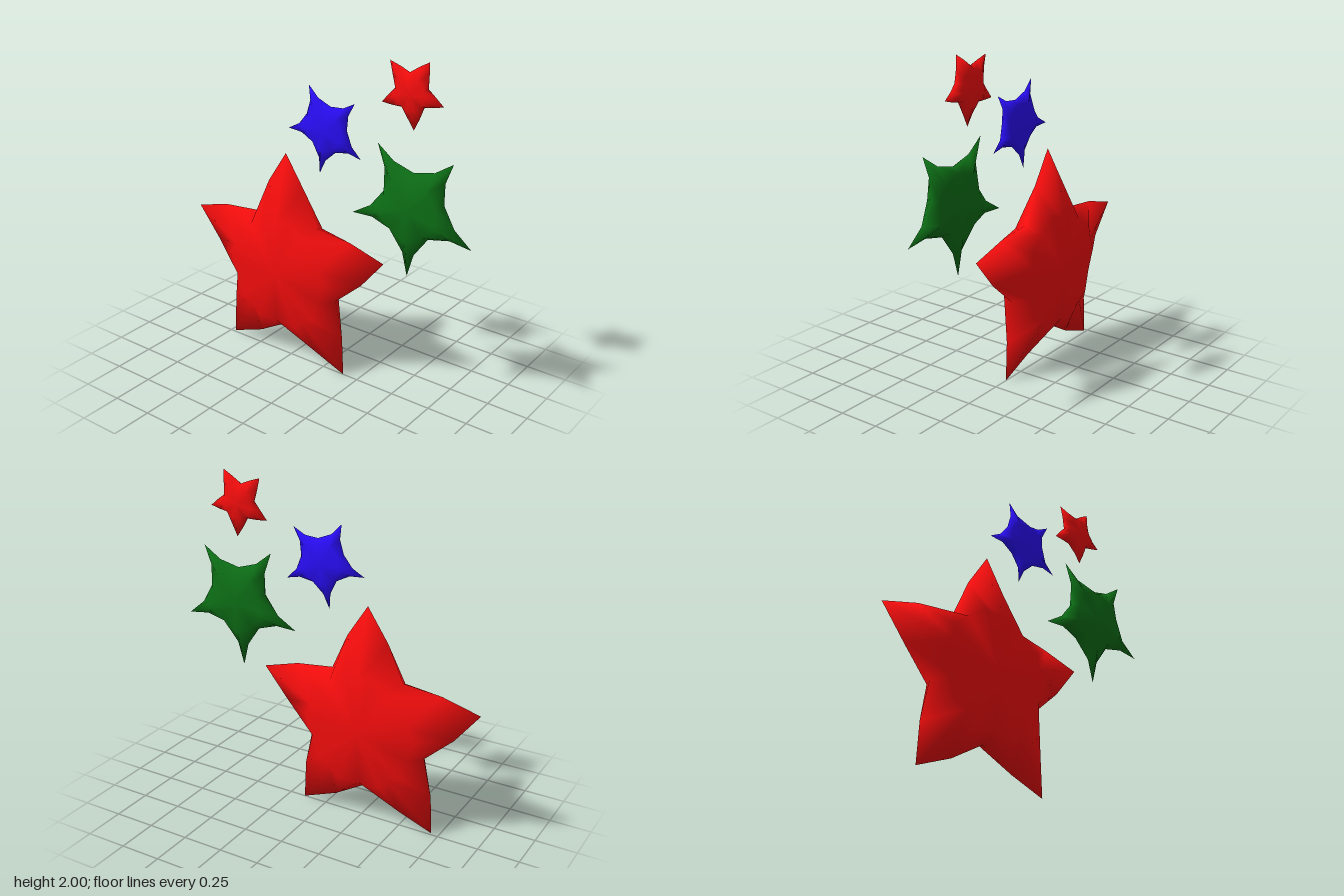
import * as THREE from 'three';

// Puffy star: outline of tips and valleys (clockwise), swelling to a shoulder ring and a centre on both sides.
// bulge bows each edge outwards (+) or inwards (-), as a share of its length.
function makeStar({ name, color, centre, z, depth, bulge, tips, valleys }) {
  const c = new THREE.Vector2(...centre);
  const rim = [];
  const addMid = (a, b) => {
    const edge = b.clone().sub(a);
    const out = new THREE.Vector2(-edge.y, edge.x).multiplyScalar(bulge);
    rim.push(a.clone().add(b).multiplyScalar(0.5).add(out));
  };
  for (let i = 0; i < 5; i++) {
    const tip = new THREE.Vector2(...tips[i]);
    const valley = new THREE.Vector2(...valleys[i]);
    const next = new THREE.Vector2(...tips[(i + 1) % 5]);
    rim.push(tip);
    addMid(tip, valley);
    rim.push(valley);
    addMid(valley, next);
  }

  // Shoulder placement and height for tip, mid-edge, valley, mid-edge
  const reach = [0.45, 0.65, 0.85, 0.65];
  const height = [0.86, 0.82, 0.78, 0.82];
  const n = rim.length;
  const positions = [];
  const indices = [];
  rim.forEach((p) => positions.push(p.x - c.x, p.y - c.y, 0));
  for (const side of [1, -1]) {
    const ring = positions.length / 3;
    rim.forEach((p, i) => {
      const f = reach[i % 4];
      positions.push((p.x - c.x) * f, (p.y - c.y) * f, side * depth * height[i % 4]);
    });
    const hub = ring + n;
    positions.push(0, 0, side * depth);
    const face = (a, b, d) => (side > 0 ? indices.push(a, b, d) : indices.push(a, d, b));
    for (let i = 0; i < n; i++) {
      const j = (i + 1) % n;
      face(hub, ring + j, ring + i);
      // Split each quad the same way on both halves of an arm
      if (i % 2 === 0) {
        face(ring + i, ring + j, rim.length > j ? j : 0);
        face(ring + i, j, i);
      } else {
        face(ring + i, ring + j, i);
        face(ring + j, j, i);
      }
    }
  }
  const geometry = new THREE.BufferGeometry();
  geometry.setAttribute('position', new THREE.Float32BufferAttribute(positions, 3));
  geometry.setIndex(indices);
  geometry.computeVertexNormals();
  const mesh = new THREE.Mesh(geometry, new THREE.MeshStandardMaterial({ color }));
  mesh.name = name;
  mesh.position.set(c.x, c.y, z);
  return mesh;
}

const RED = 0xf80d0d;
const STARS = [
  {
    name: 'largeRedStar', color: RED, centre: [-0.275, 0.6], z: 0, depth: 0.125, bulge: 0.04,
    tips: [[-0.27, 1.33], [0.42, 0.82], [0.15, 0], [-0.71, 0.01], [-0.97, 0.83]],
    valleys: [[-0.045, 0.915], [0.09, 0.48], [-0.28, 0.21], [-0.645, 0.48], [-0.5, 0.915]],
  },
  {
    name: 'greenStar', color: 0x0d7016, centre: [0.59, 1.2], z: 0, depth: 0.055, bulge: -0.09,
    tips: [[0.365, 1.53], [0.835, 1.51], [0.965, 1.06], [0.575, 0.795], [0.205, 1.085]],
    valleys: [[0.595, 1.41], [0.79, 1.27], [0.7, 1.05], [0.46, 1.05], [0.41, 1.265]],
  },
  {
    name: 'blueStar', color: 0x2a0df8, centre: [0.02, 1.53], z: 0, depth: 0.035, bulge: -0.1,
    tips: [[-0.1, 1.77], [0.21, 1.715], [0.255, 1.405], [-0.025, 1.265], [-0.245, 1.49]],
    valleys: [[0.05, 1.67], [0.16, 1.55], [0.085, 1.41], [-0.07, 1.44], [-0.115, 1.6]],
  },
  {
    name: 'smallRedStar', color: RED, centre: [0.53, 1.82], z: -0.06, depth: 0.034, bulge: 0.02,
    tips: [[0.63, 2], [0.725, 1.78], [0.55, 1.62], [0.345, 1.74], [0.39, 1.975]],
    valleys: [[0.63, 1.855], [0.61, 1.755], [0.475, 1.735], [0.43, 1.835], [0.515, 1.93]],
  },
];

export function createModel() {
  const group = new THREE.Group();
  group.name = 'starCluster';
  STARS.forEach((star) => group.add(makeStar(star)));
  return group;
}
